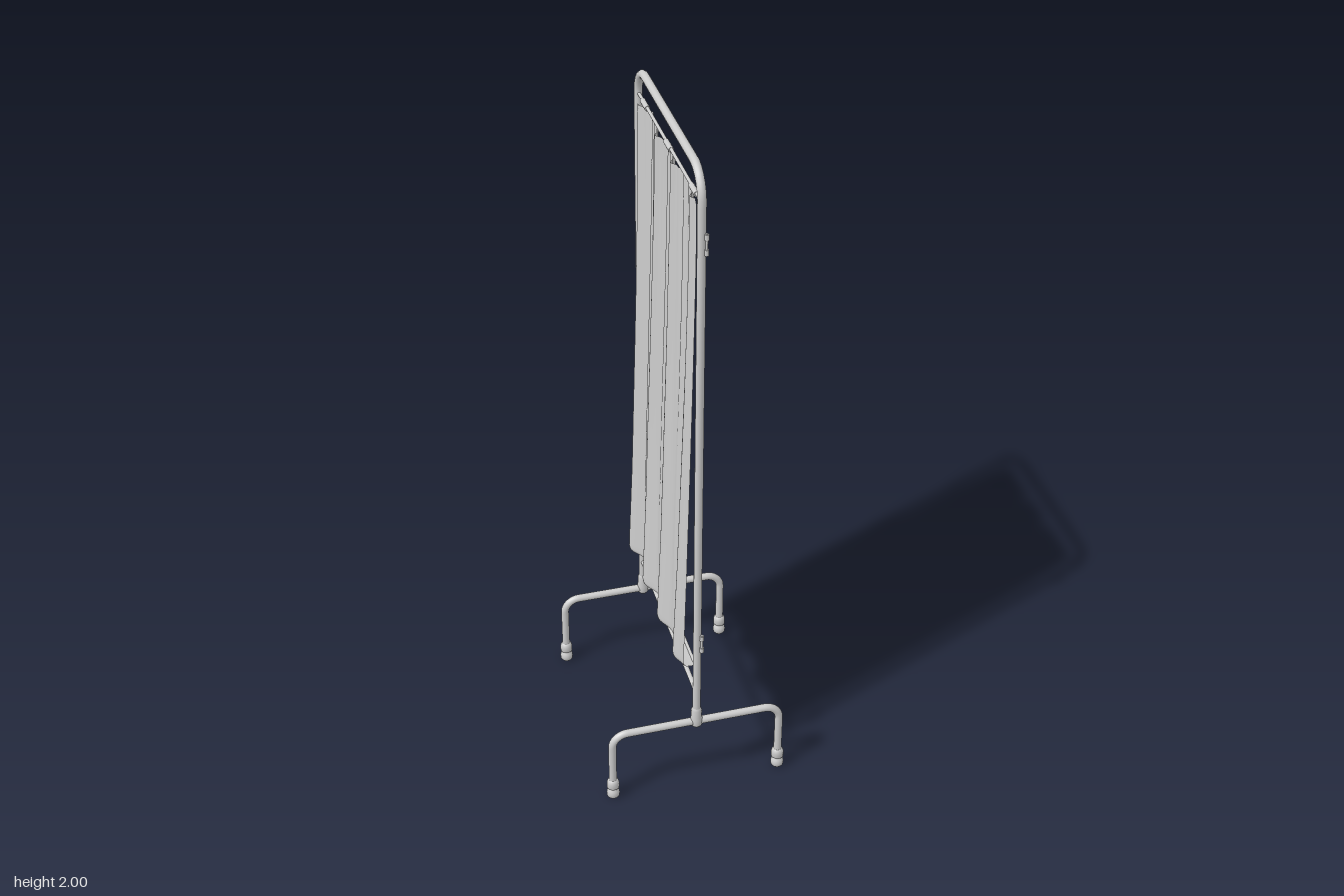
import * as THREE from 'three';

const grey = new THREE.MeshStandardMaterial({ color: 0xcccccc });
const clothGrey = new THREE.MeshStandardMaterial({ color: 0xcccccc, side: THREE.DoubleSide });
const V = (x, y, z) => new THREE.Vector3(x, y, z);

const HALF_WIDTH = 0.306, LEG_REACH = 0.247;

function add(parent, name, geometry, x = 0, y = 0, z = 0, material = grey) {
  const mesh = new THREE.Mesh(geometry, material);
  mesh.name = name;
  mesh.position.set(x, y, z);
  parent.add(mesh);
  return mesh;
}

// Tube through corner points, each inner corner rounded by the given radius
function bentTube(points, bend, radius) {
  const path = new THREE.CurvePath();
  let from = points[0];
  for (let i = 1; i < points.length - 1; i++) {
    const p = points[i];
    const a = p.clone().add(points[i - 1].clone().sub(p).setLength(bend));
    const b = p.clone().add(points[i + 1].clone().sub(p).setLength(bend));
    const k = 0.5523;
    path.add(new THREE.LineCurve3(from, a));
    path.add(new THREE.CubicBezierCurve3(a, a.clone().lerp(p, k), b.clone().lerp(p, k), b));
    from = b;
  }
  path.add(new THREE.LineCurve3(from, points[points.length - 1]));
  return new THREE.TubeGeometry(path, 200, radius, 14);
}

// Horizontal cylinder along the panel
function rod(parent, name, length, radius, x, y) {
  const mesh = add(parent, name, new THREE.CylinderGeometry(radius, radius, length, 12), x, y, 0);
  mesh.rotation.z = Math.PI / 2;
}

const lathe = (profile) =>
  new THREE.LatheGeometry(profile.map(([r, y]) => new THREE.Vector2(r, y)), 20);

// Pleated cloth: hangs from the top rod, billows outward, tucks back to the bottom rod
function curtainGeometry() {
  const geometry = new THREE.PlaneGeometry(2, 1, 200, 90);
  const pos = geometry.attributes.position;
  for (let i = 0; i < pos.count; i++) {
    const s = pos.getX(i);
    const t = 0.5 - pos.getY(i);
    const hang = Math.min(t / 0.97, 1);
    const tuck = Math.max(0, (t - 0.97) / 0.03);
    const spread = s * (0.264 + 0.028 * hang ** 0.4);

    // Broad folds with smaller ones between them, and fine gathers near the top
    const phase = (2 * Math.PI * (spread + 0.09)) / 0.172 + 0.3 * Math.sin(3 * t + 4 * s) * (1 - hang);
    const broad = Math.cos(phase);
    const small = Math.cos(2 * phase + 1.2 * s + 0.8 * Math.sin(3 * t));
    const gathers = Math.cos(5 * phase + 2 * s) * (1 - hang) ** 2;
    const puff = 0.004 * Math.max(0, hang - 0.8) * 5 * broad;
    const fold = (0.008 + 0.002 * hang) * broad + 0.005 * small + 0.003 * gathers + puff;
    // Folds lean sideways so their creases are sharper on one side
    const u = spread + 0.009 * Math.sin(phase) * Math.min(1, 4 * hang) * (1 - s ** 4);

    const billow = -0.001 + 0.036 * hang ** 1.2;
    const pull = Math.sqrt(Math.max(0, 1 - tuck * tuck));
    const y = 1.9 - 1.452 * hang - 0.013 * Math.sin((tuck * Math.PI) / 2);
    pos.setXYZ(i, u, y, (billow + fold) * pull);
  }
  geometry.computeVertexNormals();
  return geometry;
}

// Splayed stand under one post
function makeStand() {
  const stand = new THREE.Group();
  stand.name = 'stand';
  add(stand, 'legTube', bentTube([
    V(0, 0.03, -LEG_REACH), V(0, 0.238, -LEG_REACH),
    V(0, 0.238, LEG_REACH), V(0, 0.03, LEG_REACH),
  ], 0.045, 0.0115));

  const foot = lathe([[0, 0.003], [0.013, 0.003], [0.018, 0.009], [0.019, 0.019], [0.017, 0.029],
    [0.013, 0.033], [0.013, 0.037], [0.018, 0.041], [0.018, 0.058], [0.015, 0.067], [0.0115, 0.069]]);
  for (const side of [-1, 1]) add(stand, 'rubberFoot', foot, 0, 0, side * LEG_REACH);

  add(stand, 'postSocket', lathe([[0, 0.224], [0.014, 0.224], [0.017, 0.23], [0.017, 0.25],
    [0.015, 0.258], [0.015, 0.282], [0.011, 0.29]]));
  return stand;
}

export function createModel() {
  const model = new THREE.Group();
  model.name = 'foldingScreen';
  // The panel stands at an angle to the front
  const panel = new THREE.Group();
  panel.name = 'screenPanel';
  panel.rotation.y = -1.172;
  model.add(panel);

  // Hoop frame and its bars
  add(panel, 'hoopFrame', bentTube([
    V(-HALF_WIDTH, 0.24, 0), V(-HALF_WIDTH, 1.988, 0),
    V(HALF_WIDTH, 1.988, 0), V(HALF_WIDTH, 0.24, 0),
  ], 0.075, 0.0115));
  rod(panel, 'lowerCrossbar', HALF_WIDTH * 2, 0.007, 0, 0.345);
  rod(panel, 'topCurtainRod', HALF_WIDTH * 2, 0.0045, 0, 1.91);
  rod(panel, 'bottomCurtainRod', HALF_WIDTH * 2, 0.0045, 0, 0.436);

  // Curtain with its hanging loops
  add(panel, 'curtain', curtainGeometry(), 0, 0, 0, clothGrey);
  for (const x of [-0.235, 0, 0.235]) rod(panel, 'curtainLoop', 0.05, 0.0075, x, 1.908);

  for (const side of [-1, 1]) {
    const x = side * HALF_WIDTH;
    const stand = makeStand();
    stand.position.x = x;
    panel.add(stand);

    // Hinges on the outer back corner: one long knuckle on one post, two short ones on the other
    const knuckles = side < 0 ? [[0, 0.056]] : [[-0.021, 0.016], [0.021, 0.016]];
    for (const y of [0.533, 1.8]) {
      const hinge = new THREE.Group();
      hinge.name = 'hinge';
      hinge.position.set(x + side * 0.011, y, -0.01);
      panel.add(hinge);
      add(hinge, 'hingePin', new THREE.CylinderGeometry(0.0035, 0.0035, 0.062, 10));
      for (const [dy, height] of knuckles) {
        add(hinge, 'hingeKnuckle', new THREE.CylinderGeometry(0.006, 0.006, height, 12), 0, dy, 0);
      }
    }
  }
  return model;
}
